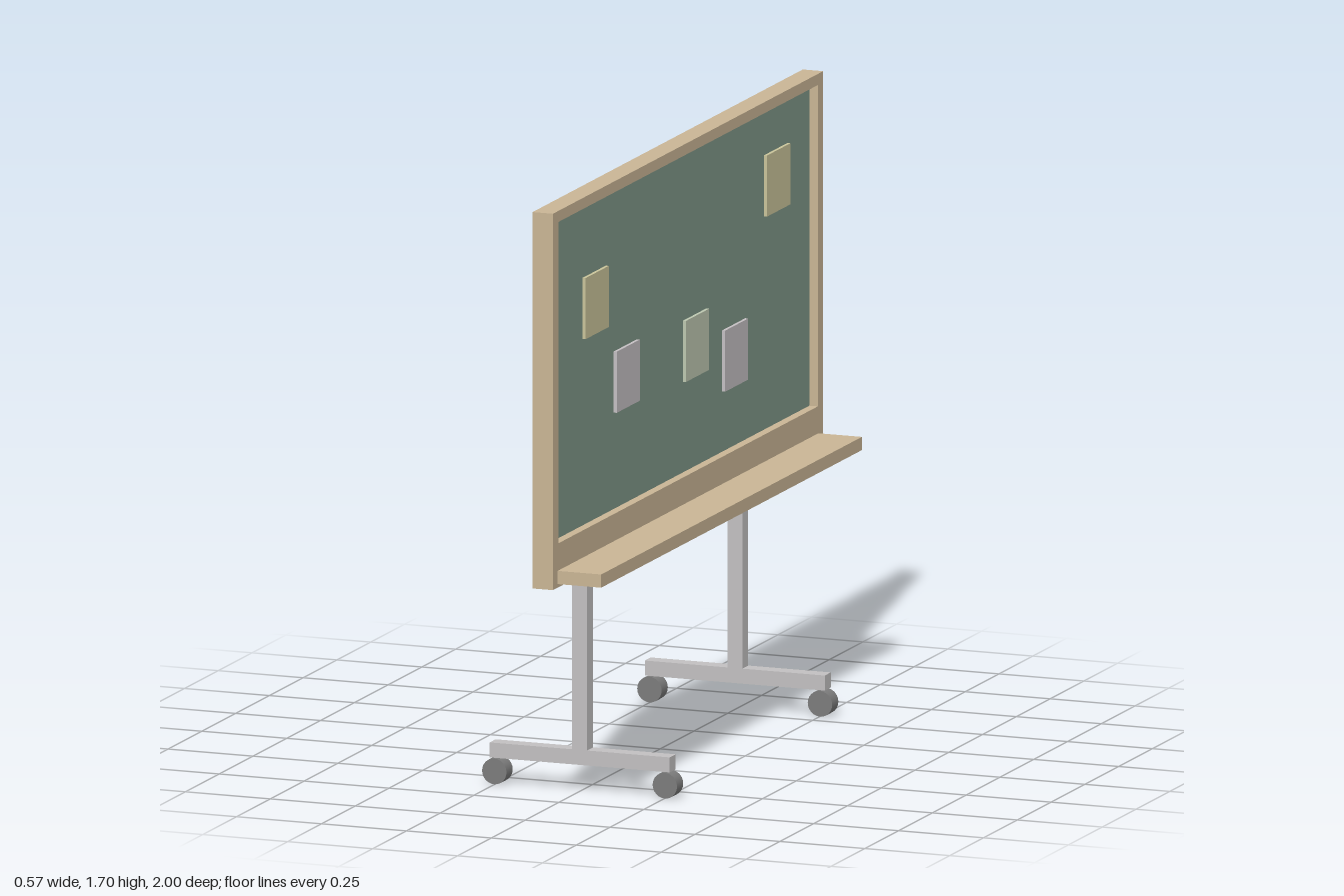
import * as THREE from 'three';

const mat = (name, color) => {
  const m = new THREE.MeshStandardMaterial({ color });
  m.name = name;
  return m;
};

export function createModel() {
  const wood = mat('wood', 0xc9b595);
  const metal = mat('metal', 0xc2c0c1);
  const slate = mat('slate green', 0x7f9687);
  const rubber = mat('rubber', 0x7c7c7c);
  const yellow = mat('yellow paper', 0xc9c49a);
  const pink = mat('pink paper', 0xc4bfc2);
  const green = mat('green paper', 0xbdc7b0);

  const model = new THREE.Group();
  model.name = 'rollingBoard';

  const add = (parent, name, geometry, material, x, y, z) => {
    const mesh = new THREE.Mesh(geometry, material);
    mesh.name = name;
    mesh.position.set(x, y, z);
    parent.add(mesh);
    return mesh;
  };
  // Box given by its minimum and maximum corners
  const box = (parent, name, material, a, b) => add(parent, name,
    new THREE.BoxGeometry(b[0] - a[0], b[1] - a[1], b[2] - a[2]), material,
    (a[0] + b[0]) / 2, (a[1] + b[1]) / 2, (a[2] + b[2]) / 2);

  // Frame: rectangle with a window, extruded and turned to face +x
  const rect = (path, w, y0, y1) => path.moveTo(-w, y0).lineTo(w, y0).lineTo(w, y1).lineTo(-w, y1).closePath();
  const outline = rect(new THREE.Shape(), 1, 0.65, 1.703);
  outline.holes.push(rect(new THREE.Path(), 0.96, 0.773, 1.672));
  const front = 0.055;
  const frame = new THREE.ExtrudeGeometry(outline, { depth: 0.082 - front, bevelEnabled: false });
  frame.rotateY(Math.PI / 2);
  add(model, 'frame', frame, wood, front, 0, 0);
  box(model, 'backPanel', wood, [0.022, 0.65, -1], [front, 1.703, 1]);

  // Writing surface set into the frame
  box(model, 'writingSurface', slate, [front - 0.004, 0.773, -0.96], [front + 0.002, 1.672, 0.96]);

  // Ledge below the writing surface
  box(model, 'ledge', wood, [0.082, 0.66, -0.965], [0.21, 0.697, 0.965]);

  // Paper notes: z, y, colour
  const notes = [
    [0.632, 1.38, yellow], [0.402, 1.128, pink], [-0.111, 1.112, green],
    [-0.4, 1.027, pink], [-0.711, 1.455, yellow],
  ];
  for (const [z, y, paper] of notes) {
    add(model, 'paperNote', new THREE.BoxGeometry(0.009, 0.171, 0.171), paper, front + 0.0065, y, z);
  }

  // Two stands, each a post on a foot with two wheels
  for (const side of [-1, 1]) {
    const stand = new THREE.Group();
    stand.name = side > 0 ? 'leftStand' : 'rightStand';
    stand.position.z = side * 0.574;
    model.add(stand);
    box(stand, 'post', metal, [-0.022, 0.115, -0.022], [0.022, 1.24, 0.022]);
    box(stand, 'foot', metal, [-0.265, 0.074, -0.022], [0.265, 0.116, 0.022]);
    for (const x of [-0.251, 0.251]) {
      const wheel = new THREE.CylinderGeometry(0.036, 0.036, 0.046, 24);
      wheel.rotateX(Math.PI / 2);
      add(stand, 'wheel', wheel, rubber, x, 0.036, 0);
    }
  }
  return model;
}
